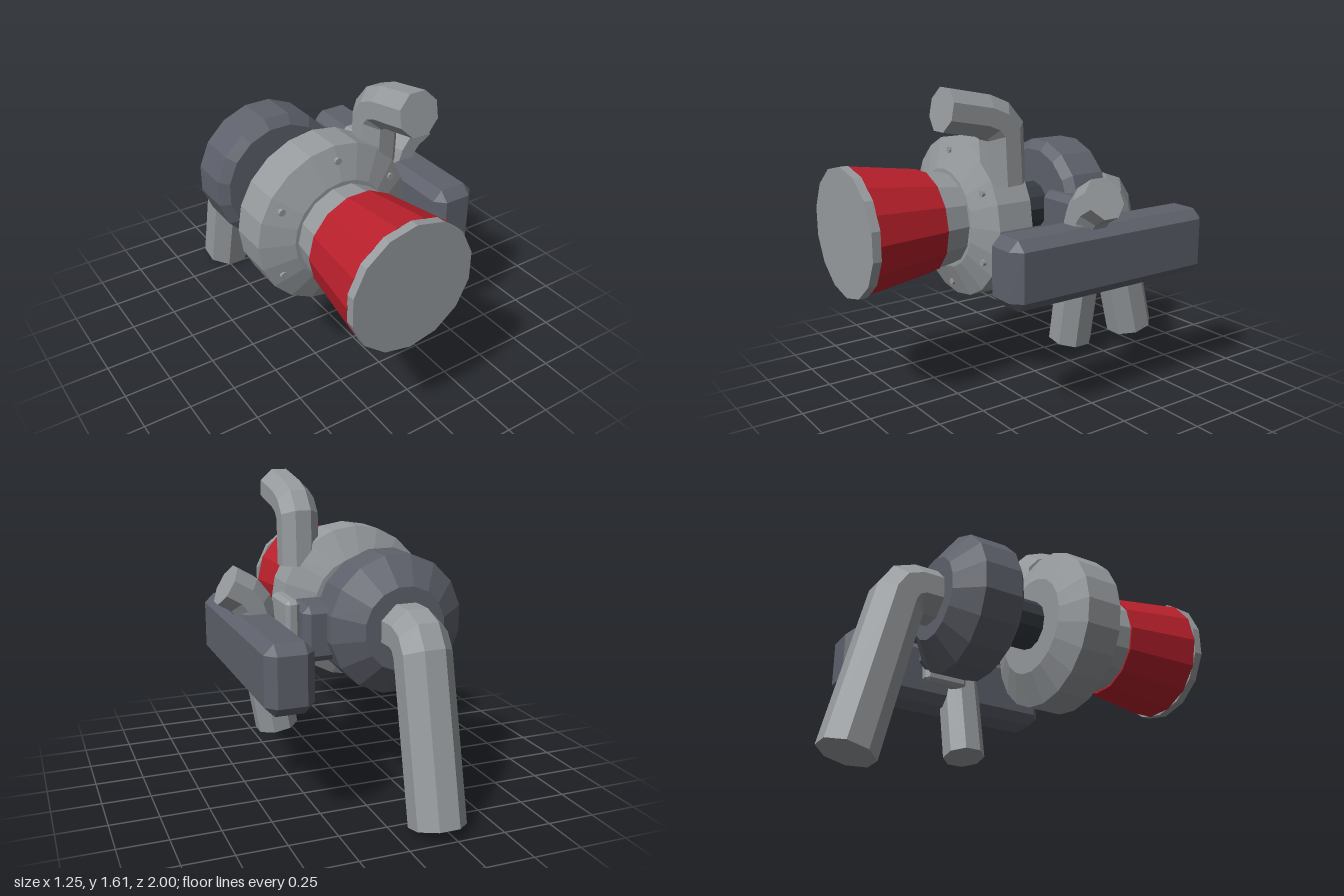
import * as THREE from 'three';
import { ConvexGeometry } from 'three/addons/geometries/ConvexGeometry.js';

const material = (name, color) => {
  const m = new THREE.MeshStandardMaterial({ color });
  m.name = name;
  return m;
};

// Faceted normals for every part
function flat(geometry) {
  const g = geometry.index ? geometry.toNonIndexed() : geometry;
  g.computeVertexNormals();
  return g;
}

// Solid of revolution about z; profile is [radius, z] from back to front
function turned(profile, sides, phase = 0) {
  const points = profile.map(([r, z]) => new THREE.Vector2(r, z));
  return flat(new THREE.LatheGeometry(points, sides, phase).rotateX(Math.PI / 2));
}

// Block with every edge cut by c
function chamferBox(w, h, d, c) {
  const points = [];
  for (const sx of [-1, 1]) for (const sy of [-1, 1]) for (const sz of [-1, 1]) {
    for (let full = 0; full < 3; full++) {
      const [x, y, z] = [w, h, d].map((s, axis) => s / 2 - (axis === full ? 0 : c));
      points.push(new THREE.Vector3(sx * x, sy * y, sz * z));
    }
  }
  return flat(new ConvexGeometry(points));
}

// Eight-sided pipe with mitred bends; the path lies in a plane perpendicular to side
function pipe(path, flatRadius, side) {
  const sides = 8, positions = [], indices = [];
  const pts = path.map((p) => new THREE.Vector3(...p));
  const radius = flatRadius / Math.cos(Math.PI / sides);
  pts.forEach((p, i) => {
    const before = p.clone().sub(pts[Math.max(i - 1, 0)]).normalize();
    const after = pts[Math.min(i + 1, pts.length - 1)].clone().sub(p).normalize();
    const tangent = before.clone().add(after).normalize();
    const normal = side.clone().cross(tangent);
    const mitre = 1 / tangent.dot(i ? before : after);
    for (let j = 0; j < sides; j++) {
      const a = ((j + 0.5) / sides) * Math.PI * 2;
      const v = p.clone()
        .addScaledVector(normal, radius * Math.cos(a) * mitre)
        .addScaledVector(side, radius * Math.sin(a));
      positions.push(v.x, v.y, v.z);
    }
  });
  for (let i = 0; i < pts.length - 1; i++) {
    for (let j = 0; j < sides; j++) {
      const a = i * sides + j, b = i * sides + ((j + 1) % sides);
      indices.push(a, b, b + sides, a, b + sides, a + sides);
    }
  }
  // End caps
  const last = (pts.length - 1) * sides;
  for (let j = 1; j < sides - 1; j++) {
    indices.push(0, j + 1, j, last, last + j, last + j + 1);
  }
  const g = new THREE.BufferGeometry();
  g.setAttribute('position', new THREE.Float32BufferAttribute(positions, 3));
  g.setIndex(indices);
  return flat(g);
}

export function createModel() {
  const lightMetal = material('light metal', 0x969a9d);
  const darkMetal = material('dark metal', 0x5e616b);
  const shaftMetal = material('shaft metal', 0x363c43);
  const red = material('red', 0xb9202c);

  const model = new THREE.Group();
  model.name = 'turbocharger';
  const add = (parent, name, geometry, mat, x = 0, y = 0, z = 0) => {
    const mesh = new THREE.Mesh(geometry, mat);
    mesh.name = name;
    mesh.position.set(x, y, z);
    parent.add(mesh);
    return mesh;
  };

  // Parts turned about the main axis
  const core = new THREE.Group();
  core.name = 'core';
  core.position.set(-0.205, 0.905, 0);
  model.add(core);

  add(core, 'compressorHousing', turned(
    [[0, 0.1], [0.26, 0.1], [0.423, 0.17], [0.423, 0.365], [0.26, 0.43], [0, 0.43]], 20), lightMetal);
  add(core, 'turbineHousing', turned(
    [[0, -0.485], [0.215, -0.485], [0.36, -0.38], [0.36, -0.18], [0.31, -0.14], [0, -0.14]],
    16, Math.PI / 16), darkMetal);
  add(core, 'shaft', turned([[0, -0.16], [0.13, -0.16], [0.13, 0.12], [0, 0.12]], 12), shaftMetal);

  // Intake: neck, red filter and end rim
  const half = Math.PI / 14;
  add(core, 'intakeNeck', turned([[0, 0.41], [0.24, 0.41], [0.262, 0.58], [0, 0.58]], 14, half), lightMetal);
  add(core, 'filter', turned([[0, 0.565], [0.27, 0.565], [0.326, 0.956], [0, 0.956]], 14, half), red);
  add(core, 'filterRim', turned([[0, 0.955], [0.33, 0.955], [0.33, 1], [0, 1]], 14), lightMetal);

  // Housing bolts
  for (let i = 0; i < 6; i++) {
    const a = Math.PI / 2 + (i * Math.PI) / 3;
    add(core, 'bolt', turned([[0, -0.03], [0.018, -0.03], [0.018, 0.01], [0, 0.01]], 8),
      lightMetal, 0.355 * Math.cos(a), 0.355 * Math.sin(a), 0.392);
  }

  // Bent pipes
  const xAxis = new THREE.Vector3(1, 0, 0), zAxis = new THREE.Vector3(0, 0, 1);
  const inYZ = (x, path) => path.map(([z, y]) => [x, y, z]);
  add(model, 'exhaustPipe', pipe(inYZ(-0.205, [
    [-0.4, 0.905], [-0.585, 0.905], [-0.64, 0.885], [-0.678, 0.83], [-0.875, 0.036],
  ]), 0.13, xAxis), lightMetal);
  add(model, 'outletPipe', pipe(inYZ(0.093, [
    [0.26, 1.12], [0.272, 1.383], [0.318, 1.437], [0.39, 1.467], [0.605, 1.508],
  ]), 0.104, xAxis), lightMetal);
  add(model, 'sidePipe', pipe([
    [0.313, 0.31, 0], [0.42, 0.915, 0], [0.443, 0.985, 0], [0.485, 1.04, 0], [0.57, 1.09, 0],
  ], 0.104, zAxis), lightMetal);

  // Side bar and its mount
  add(model, 'sideBar', chamferBox(0.243, 0.345, 1.22, 0.05), darkMetal, 0.451, 0.775, -0.09);
  add(model, 'mountBlock', chamferBox(0.325, 0.285, 0.25, 0.035), darkMetal, 0.102, 0.873, -0.205);
  add(model, 'mountPlate', chamferBox(0.075, 0.35, 0.25, 0.02), lightMetal, 0.298, 0.865, -0.14);

  return model;
}
